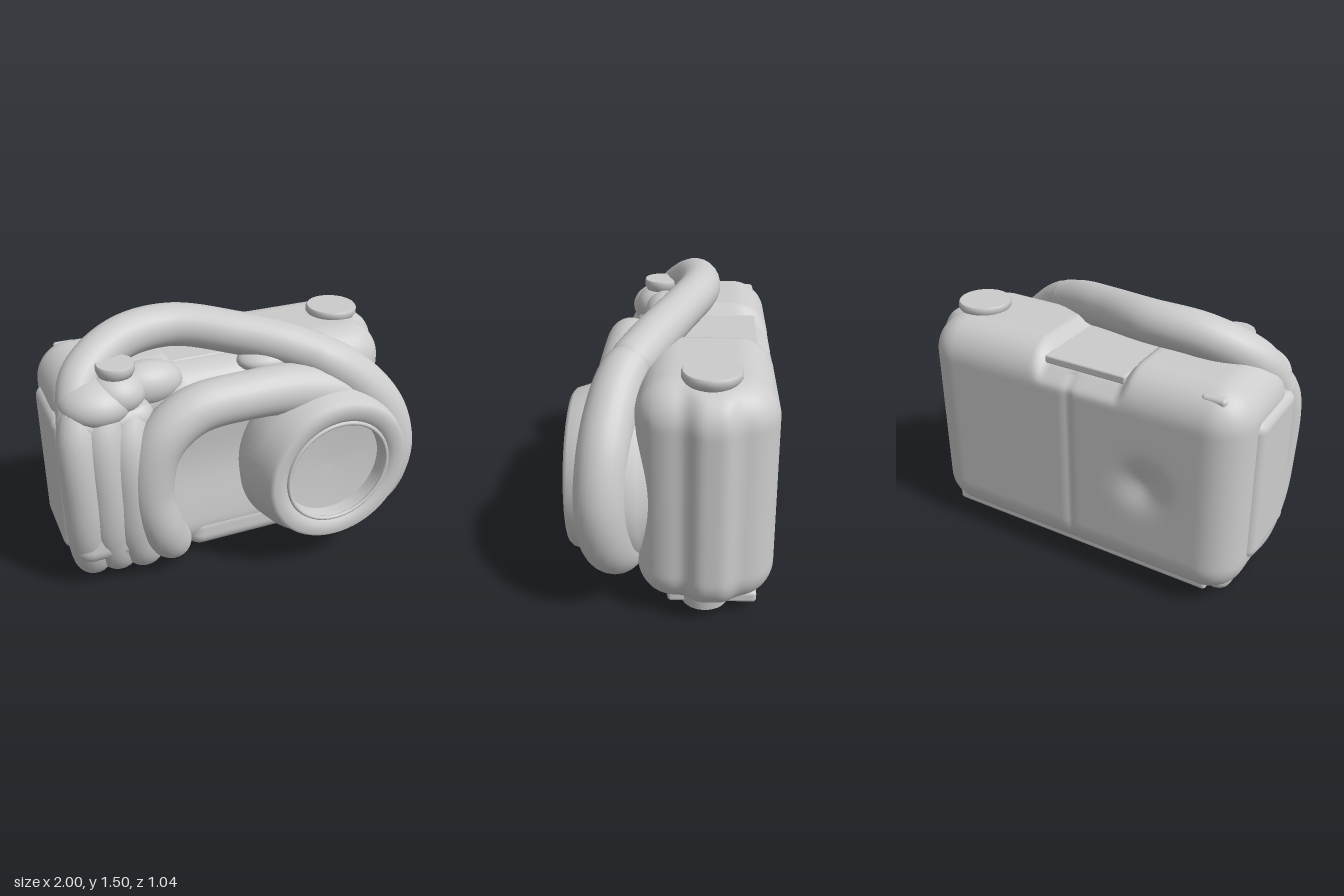
import * as THREE from 'three';
import { mergeVertices } from 'three/addons/utils/BufferGeometryUtils.js';
import { RoundedBoxGeometry } from 'three/addons/geometries/RoundedBoxGeometry.js';

const grey = new THREE.MeshStandardMaterial({ color: 0xcccccc, side: THREE.DoubleSide });
grey.name = 'lightGrey';

const smooth = (e0, e1, v) => THREE.MathUtils.smoothstep(v, e0, e1);

// Dense rounded block whose vertices can be pushed by a rule
function softBlock(w, h, d, r, center, rule) {
  let g = new THREE.BoxGeometry(w, h, d, 90, 50, 36);
  g.deleteAttribute('uv');
  g.deleteAttribute('normal');
  g = mergeVertices(g, 1e-4);
  const p = g.attributes.position, v = new THREE.Vector3(), inner = new THREE.Vector3();
  const lim = new THREE.Vector3(w / 2 - r, h / 2 - r, d / 2 - r);
  for (let i = 0; i < p.count; i++) {
    v.fromBufferAttribute(p, i);
    inner.copy(v).clamp(lim.clone().negate(), lim);
    v.sub(inner).setLength(r).add(inner).add(center);
    rule(v);
    p.setXYZ(i, v.x, v.y, v.z);
  }
  g.computeVertexNormals();
  return g;
}

// Smooth tube through [x, y, z, radius] points with round ends, kept above the ground
function softTube(points, segs = 80, sides = 24) {
  const path = new THREE.CatmullRomCurve3(points.map(p => new THREE.Vector3(p[0], p[1], p[2])));
  const radii = new THREE.CatmullRomCurve3(points.map((p, i) => new THREE.Vector3(i, p[3], 0)));
  const g = new THREE.TubeGeometry(path, segs, 1, sides);
  const p = g.attributes.position, v = new THREE.Vector3();
  for (let i = 0; i < p.count; i++) {
    const u = Math.floor(i / (sides + 1)) / segs;
    const c = path.getPointAt(u), r = radii.getPoint(path.getUtoTmapping(u)).y;
    v.fromBufferAttribute(p, i).sub(c).multiplyScalar(r).add(c);
    p.setXYZ(i, v.x, Math.max(0, v.y), v.z);
  }
  const parts = [g];
  for (const e of [points[0], points[points.length - 1]]) {
    const s = new THREE.SphereGeometry(e[3], 20, 14).translate(e[0], e[1], e[2]);
    const q = s.attributes.position;
    for (let i = 0; i < q.count; i++) q.setY(i, Math.max(0, q.getY(i)));
    parts.push(s);
  }
  return parts;
}

export function createModel() {
  const model = new THREE.Group();
  const add = (name, geo, x = 0, y = 0, z = 0) => {
    const m = new THREE.Mesh(geo, grey);
    m.name = name;
    m.position.set(x, y, z);
    model.add(m);
    return m;
  };
  const addTube = (name, points) => {
    const grp = new THREE.Group();
    grp.name = name;
    for (const g of softTube(points)) grp.add(new THREE.Mesh(g, grey));
    model.add(grp);
  };
  const box = (name, x0, x1, y0, y1, z0, z1, r = 0.02) =>
    add(name, new RoundedBoxGeometry(x1 - x0, y1 - y0, z1 - z0, 5, r),
      (x0 + x1) / 2, (y0 + y1) / 2, (z0 + z1) / 2);

  // Main body: notched top, back dimple and seam, bulge down the right side
  add('body', softBlock(1.89, 1.2, 0.7, 0.2, new THREE.Vector3(-0.025, 0.67, -0.17), v => {
    const dip = 1 - smooth(0.22, 0.28, Math.abs(v.x + 0.075));
    if (v.y > 1) v.y -= 0.06 * dip * smooth(1.05, 1.22, v.y);
    if (v.x > 0.7) {
      const bulge = Math.exp(-(((v.z + 0.2) / 0.11) ** 4));
      v.x += 0.06 * bulge * smooth(0.7, 0.85, v.x);
    }
    if (v.z < -0.45) {
      const d = Math.hypot(v.x + 0.45, v.y - 0.65);
      v.z += 0.04 * Math.exp(-d * d / 0.012);
      v.z += 0.012 * Math.exp(-((v.x + 0.02) ** 2) / 0.0003);
    }
    if (v.z > 0.1) v.z -= 0.04 * Math.exp(-((v.y - 0.65) ** 2) / 0.08);
  }));

  // Side details
  box('gripSidePlate', -1, -0.85, 0.25, 1.08, -0.32, 0.14, 0.06);
  box('cornerBracket', -0.85, -0.72, 1.12, 1.24, -0.45, -0.16);

  // Top details
  box('topPlate', -0.31, 0.16, 1.17, 1.215, -0.44, -0.02, 0.01);
  const button = (name, r, h) => add(name, new THREE.LatheGeometry([
    [0, 0], [r * 0.85, 0], [r, h * 0.5], [r, h * 0.85], [r * 0.95, h], [r * 0.95, h], [0, h]
  ].map(p => new THREE.Vector2(...p)), 40));
  button('rightTopButton', 0.145, 0.07).position.set(0.73, 1.24, -0.19);
  button('gripButton', 0.1, 0.07).position.set(-0.65, 1.26, 0.11);

  // Underside
  box('baseRail', -0.8, 0.84, 0.065, 0.13, -0.435, 0.02);
  box('frontLowerPanel', -0.3, 0.4, 0.075, 0.3, -0.05, 0.175, 0.09);
  add('baseFoot', new THREE.CylinderGeometry(0.13, 0.12, 0.08, 32), 0.77, 0.095, -0.17);

  // Lens barrel with a recessed face
  const profile = [[0.35, 0.1], [0.45, 0.16], [0.485, 0.26], [0.46, 0.38], [0.43, 0.45], [0.415, 0.5],
    [0.395, 0.52], [0.34, 0.515], [0.305, 0.49], [0.295, 0.47], [0.29, 0.41], [0.29, 0.41], [0.15, 0.395], [0, 0.39]];
  add('lensBarrel', new THREE.LatheGeometry(profile.map(p => new THREE.Vector2(...p)), 64).rotateX(Math.PI / 2),
    0.455, 0.635, 0);
  add('lensRim', new THREE.TorusGeometry(0.3, 0.012, 10, 64), 0.455, 0.635, 0.495);

  // Carrying handle and the side tube that continues it round the lens
  addTube('handle', [[-0.88, 1.05, 0.14, 0.1], [-0.81, 1.23, 0.02, 0.11], [-0.58, 1.355, -0.09, 0.115],
    [-0.28, 1.38, -0.12, 0.115], [0.05, 1.33, 0.01, 0.115], [0.26, 1.28, 0.115, 0.118], [0.42, 1.225, 0.2, 0.118]]);
  addTube('sideTube', [[0.4, 1.232, 0.19, 0.105], [0.5, 1.18, 0.245, 0.125], [0.66, 1.05, 0.295, 0.13],
    [0.8, 0.87, 0.325, 0.132], [0.865, 0.63, 0.335, 0.135], [0.81, 0.4, 0.315, 0.135],
    [0.65, 0.26, 0.27, 0.125], [0.42, 0.22, 0.24, 0.09]]);

  // Front arch running from the base over the window to the lens
  addTube('frontArch', [[-0.34, 0.05, -0.25, 0.07], [-0.33, 0.06, -0.03, 0.08], [-0.4, 0.18, 0.14, 0.115],
    [-0.48, 0.35, 0.23, 0.125], [-0.545, 0.65, 0.265, 0.125], [-0.48, 0.92, 0.275, 0.13],
    [-0.3, 1.06, 0.27, 0.13], [0, 1.09, 0.27, 0.13], [0.3, 1.07, 0.265, 0.14], [0.55, 1.0, 0.28, 0.14], [0.74, 0.82, 0.29, 0.12]]);

  // Grip columns that curl under the base, over a filled core
  const columns = [[-0.89, -0.8, 0.19, 0.108, 1.14], [-0.76, -0.65, 0.2, 0.115, 1.14], [-0.63, -0.49, 0.215, 0.12, 1.08]];
  columns.forEach(([x, foot, z, r, top], i) => addTube('gripColumn' + (i + 1), [
    [x + 0.04, top, z - 0.08, r * 0.85], [x, top - 0.17, z, r], [x, 0.6, z + 0.01, r],
    [x + 0.01, 0.35, z - 0.03, r], [(x + foot) / 2, 0.16, z - 0.11, r], [foot, 0.06, -0.06, 0.09], [foot, 0.05, -0.25, 0.08]]));
  box('gripCore', -0.97, -0.48, 0.2, 1.14, -0.05, 0.265, 0.1);
  box('gripFoot', -0.86, -0.3, 0, 0.13, -0.31, 0.05, 0.04);

  // Swollen shoulder joining the grip, button and handle
  const blob = (name, x, y, z, sx, sy, sz) => add(name, new THREE.SphereGeometry(1, 32, 20), x, y, z).scale.set(sx, sy, sz);
  blob('gripShoulder', -0.76, 1.13, 0.1, 0.2, 0.13, 0.19);
  blob('buttonMount', -0.65, 1.17, 0.11, 0.15, 0.12, 0.15);
  blob('shoulderFold', -0.48, 1.17, 0.08, 0.19, 0.12, 0.12);
  blob('archFold', 0.2, 1.2, 0.1, 0.18, 0.07, 0.12);
  return model;
}
